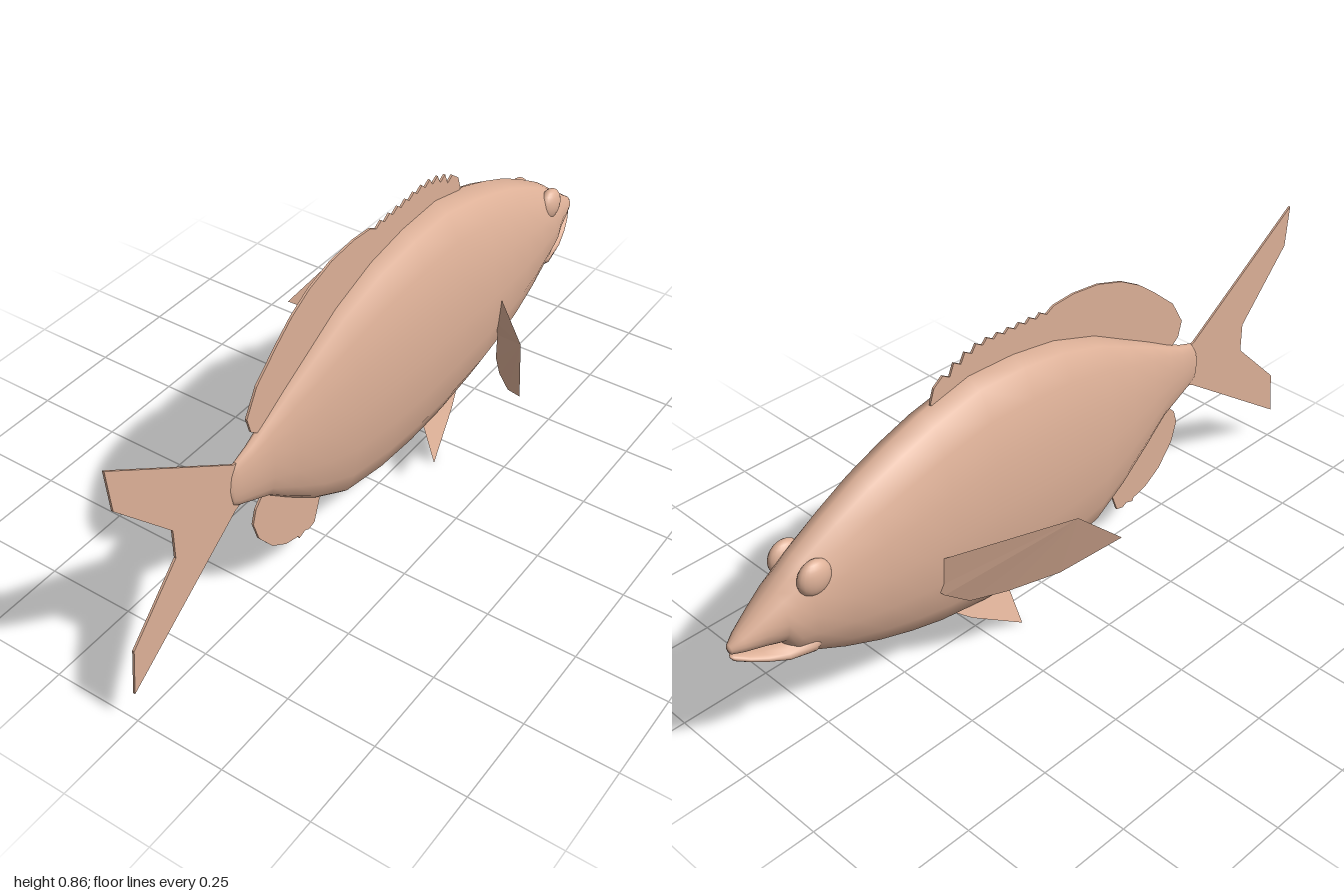
import * as THREE from 'three';

const skin = new THREE.MeshStandardMaterial({ color: 0xdeb198, side: THREE.DoubleSide });
skin.name = 'peach skin';

// Skins elliptical sections given as [z, top, bottom, halfWidth], from nose to tail
function loft(rows, sides = 16) {
  const pos = [], index = [];
  rows.forEach(([z, top, bottom, w], i) => {
    for (let j = 0; j < sides; j++) {
      const a = (j / sides) * Math.PI * 2;
      pos.push(w * Math.sin(a), (top + bottom) / 2 + ((top - bottom) / 2) * Math.cos(a), z);
      if (i < rows.length - 1) {
        const k = i * sides, n = (j + 1) % sides;
        index.push(k + j, k + sides + j, k + n, k + n, k + sides + j, k + sides + n);
      }
    }
  });
  const g = new THREE.BufferGeometry();
  g.setAttribute('position', new THREE.Float32BufferAttribute(pos, 3));
  g.setIndex(index);
  g.computeVertexNormals();
  return g;
}

// Thin upright fin on the centre plane, outline in [z, y]
function medianFin(outline, depth = 0.006) {
  const shape = new THREE.Shape(outline.map(([z, y]) => new THREE.Vector2(z, y)));
  const g = new THREE.ExtrudeGeometry(shape, { depth, bevelEnabled: false });
  return g.translate(0, 0, -depth / 2).rotateY(-Math.PI / 2);
}

// Paired fin: a flat fan through [x, y, z] points, mirrored by side
function pairedFin(points, side) {
  const pos = [];
  for (let i = 1; i < points.length - 1; i++)
    for (const [x, y, z] of [points[0], points[i], points[i + 1]]) pos.push(x * side, y, z);
  const g = new THREE.BufferGeometry();
  g.setAttribute('position', new THREE.Float32BufferAttribute(pos, 3));
  g.computeVertexNormals();
  return g;
}

export function createModel() {
  const fish = new THREE.Group();
  fish.name = 'fish';
  const add = (name, geometry) => {
    const mesh = new THREE.Mesh(geometry, skin);
    mesh.name = name;
    fish.add(mesh);
    return mesh;
  };

  // Body, with the underside of the snout cut up to the mouth
  add('body', loft([
    [-1.0, 0.395, 0.395, 0], [-0.997, 0.408, 0.383, 0.012], [-0.97, 0.428, 0.376, 0.028],
    [-0.92, 0.465, 0.363, 0.046], [-0.87, 0.503, 0.345, 0.06], [-0.84, 0.527, 0.297, 0.067],
    [-0.8, 0.557, 0.275, 0.075], [-0.7, 0.617, 0.222, 0.089], [-0.6, 0.67, 0.178, 0.1],
    [-0.5, 0.712, 0.143, 0.107], [-0.4, 0.747, 0.115, 0.11], [-0.25, 0.782, 0.09, 0.109],
    [-0.1, 0.777, 0.079, 0.103], [0.04, 0.755, 0.083, 0.093], [0.19, 0.705, 0.108, 0.075],
    [0.3, 0.648, 0.172, 0.058], [0.4, 0.597, 0.25, 0.042], [0.48, 0.553, 0.318, 0.03],
    [0.54, 0.523, 0.347, 0.022], [0.59, 0.507, 0.37, 0.015], [0.61, 0.475, 0.385, 0.01],
    [0.62, 0.43, 0.43, 0],
  ]));

  // Lower jaw
  add('lowerJaw', loft([
    [-0.998, 0.371, 0.371, 0], [-0.992, 0.377, 0.361, 0.012], [-0.96, 0.366, 0.343, 0.027],
    [-0.92, 0.352, 0.324, 0.04], [-0.87, 0.345, 0.299, 0.052], [-0.8, 0.36, 0.279, 0.062],
    [-0.74, 0.35, 0.3, 0.04],
  ]));

  // Dorsal fin: soft lobe behind, spiny notched edge in front
  const dorsal = [
    [-0.37, 0.7], [0.1, 0.65], [0.4, 0.56], [0.5, 0.53], [0.53, 0.555], [0.542, 0.6],
    [0.5, 0.67], [0.42, 0.737], [0.36, 0.782], [0.29, 0.82], [0.2, 0.848], [0.11, 0.857],
    [0.04, 0.852],
  ];
  const spines = 10;
  for (let i = 0; i < spines; i++) {
    const z = 0.015 - (i / spines) * 0.36;
    const y = 0.845 - Math.max(0, i - 5) ** 2 * 0.003 + i * 0.0015;
    dorsal.push([z, y - 0.007], [z - 0.022, y + 0.006]);
  }
  dorsal.push([-0.36, 0.795], [-0.372, 0.76]);
  add('dorsalFin', medianFin(dorsal));

  add('analFin', medianFin([
    [0.5, 0.34], [0.53, 0.31], [0.543, 0.27], [0.525, 0.21], [0.475, 0.145], [0.42, 0.108],
    [0.37, 0.094], [0.365, 0.084], [0.34, 0.092], [0.325, 0.084], [0.3, 0.09],
    [0.275, 0.155], [0.25, 0.2], [0.35, 0.3],
  ]));

  add('tailFin', medianFin([
    [0.56, 0.5], [0.6, 0.505], [1.0, 0.78], [0.99, 0.66], [0.82, 0.47], [0.82, 0.385],
    [0.985, 0.225], [1.0, 0.095], [0.605, 0.365], [0.56, 0.38],
  ]));

  for (const [label, side] of [['left', 1], ['right', -1]]) {
    // Swept side fins
    add(label + 'PectoralFin', pairedFin([
      [0.308, 0.488, -0.19], [0.365, 0.408, -0.095], [0.268, 0.31, -0.21], [0.185, 0.262, -0.31],
      [0.13, 0.244, -0.385], [0.1, 0.277, -0.44], [0.085, 0.3, -0.46], [0.085, 0.387, -0.47],
    ], side));
    // Small splayed belly fins
    add(label + 'PelvicFin', pairedFin([
      [0.03, 0.125, -0.165], [0.08, 0.0, -0.155], [0.045, 0.085, -0.3], [0.03, 0.125, -0.35],
    ], side));
    const eye = add(label + 'Eye', new THREE.SphereGeometry(1, 20, 14));
    eye.scale.set(0.026, 0.047, 0.047);
    eye.position.set(0.053 * side, 0.51, -0.785);
  }
  return fish;
}
